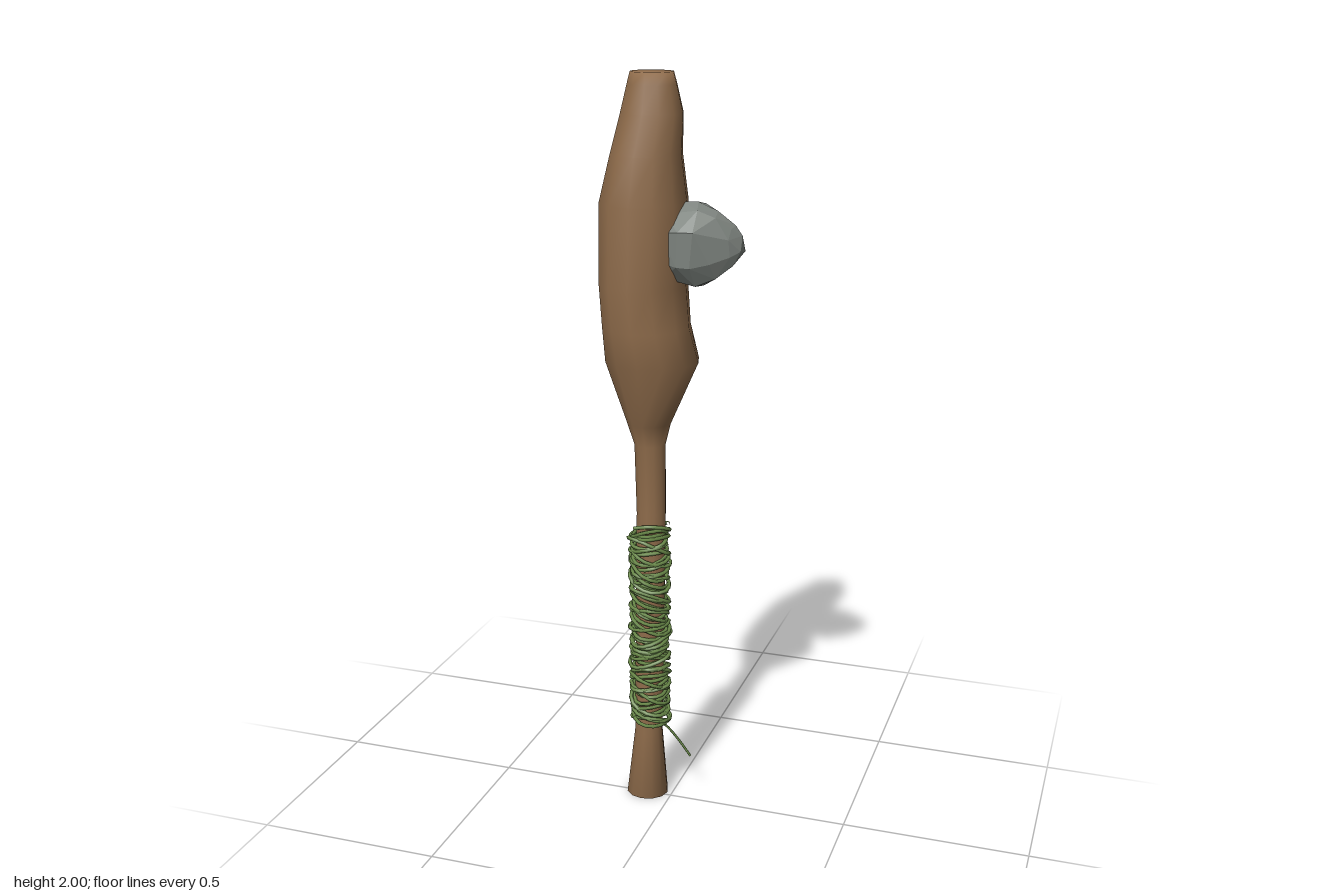
import * as THREE from 'three';
import { ConvexGeometry } from 'three/addons/geometries/ConvexGeometry.js';

const wood = new THREE.MeshStandardMaterial({ color: 0x8f6c4b });
wood.name = 'wood brown';
const stone = new THREE.MeshStandardMaterial({ color: 0x7d837e });
stone.name = 'stone grey';
const vine = new THREE.MeshStandardMaterial({ color: 0x6b8b4a });
vine.name = 'vine green';

// Smooth closed body through elliptical rings [y, xMin, xMax, zMin, zMax]
function ringBody(rings, sides) {
  const pos = [], idx = [];
  rings.forEach(([y, x0, x1, z0, z1]) => {
    for (let i = 0; i < sides; i++) {
      const a = (i / sides) * Math.PI * 2;
      pos.push((x0 + x1) / 2 + Math.cos(a) * (x1 - x0) / 2, y, (z0 + z1) / 2 + Math.sin(a) * (z1 - z0) / 2);
    }
  });
  for (let r = 0; r < rings.length - 1; r++) {
    for (let i = 0; i < sides; i++) {
      const a = r * sides + i, b = r * sides + (i + 1) % sides;
      idx.push(a, a + sides, b, b, a + sides, b + sides);
    }
  }
  // end caps
  [0, rings.length - 1].forEach((r) => {
    const [y, x0, x1, z0, z1] = rings[r], c = pos.length / 3;
    pos.push((x0 + x1) / 2, y, (z0 + z1) / 2);
    for (let i = 0; i < sides; i++) {
      const a = r * sides + i, b = r * sides + (i + 1) % sides;
      if (r === 0) idx.push(c, a, b);
      else idx.push(c, b, a);
    }
  });
  const g = new THREE.BufferGeometry();
  g.setAttribute('position', new THREE.Float32BufferAttribute(pos, 3));
  g.setIndex(idx);
  g.computeVertexNormals();
  return g;
}

// Uneven winding strand around the grip
function windingCurve(turns, phase, tilt, radius) {
  const pts = [], steps = turns * 10;
  for (let i = 0; i <= steps; i++) {
    const t = i / steps, a = phase + t * turns * Math.PI * 2;
    const r = radius + 0.004 * Math.sin(i * 1.7 + phase) + 0.003 * Math.sin(i * 0.37);
    const lean = tilt * Math.sin(a + 2.5 * Math.sin(t * 9 + phase));
    pts.push(new THREE.Vector3(
      -0.06 + Math.cos(a) * r,
      0.235 + t * 0.57 + lean + 0.004 * Math.sin(i * 0.9 + phase),
      -0.002 + Math.sin(a) * r
    ));
  }
  return new THREE.CatmullRomCurve3(pts);
}

export function createModel() {
  const model = new THREE.Group();
  model.name = 'club';
  const add = (name, geometry, material) => {
    const mesh = new THREE.Mesh(geometry, material);
    mesh.name = name;
    model.add(mesh);
  };

  // Wooden shaft swelling into a heavy head
  add('woodenShaft', ringBody([
    [0, -0.132, -0.014, -0.068, 0.042],
    [0.2, -0.105, -0.027, -0.045, 0.034],
    [0.5, -0.1, -0.02, -0.04, 0.036],
    [0.85, -0.095, -0.015, -0.04, 0.036],
    [1.04, -0.1, -0.015, -0.042, 0.038],
    [1.1, -0.118, 0.0, -0.06, 0.058],
    [1.27, -0.175, 0.075, -0.12, 0.118],
    [1.36, -0.18, 0.05, -0.125, 0.124],
    [1.47, -0.186, 0.042, -0.128, 0.13],
    [1.68, -0.184, 0.045, -0.118, 0.125],
    [1.8, -0.154, 0.03, -0.095, 0.103],
    [1.9, -0.128, 0.034, -0.073, 0.082],
    [1.97, -0.11, 0.018, -0.055, 0.067],
    [2, -0.102, 0.01, -0.046, 0.06],
  ], 12), wood);

  // Faceted stone set into the head
  const slices = [
    [0.0, 0.85], [0.04, 0.98], [0.08, 1], [0.125, 0.8], [0.165, 0.48], [0.182, 0.24],
  ];
  const outline = [
    [0.085, 1.62], [0.082, 1.53], [0.05, 1.48], [-0.02, 1.47], [-0.092, 1.51],
    [-0.075, 1.6], [-0.045, 1.675], [0.01, 1.687], [0.045, 1.67],
  ];
  const stonePoints = [];
  slices.forEach(([x, s], k) => outline.forEach(([z, y], i) => {
    if ((i + k) % 3 === 0 && k % 2 === 1 && k < 5) return;
    const tipShift = -0.018 * (1 - s);
    stonePoints.push(new THREE.Vector3(x + 0.005 * Math.sin(i * 2.3 + k), 1.578 + (y - 1.578) * s, z * s + tipShift));
  }));
  const stoneGeo = new ConvexGeometry(stonePoints);
  add('stoneSpike', stoneGeo, stone);

  // Vine wrapping on the grip
  [[26, 0, 0.012, 0.046], [21, 2.1, -0.017, 0.05], [17, 4.2, 0.02, 0.052]].forEach(([turns, phase, tilt, radius], i) => {
    add('vineWrap' + (i + 1), new THREE.TubeGeometry(windingCurve(turns, phase, tilt, radius), turns * 16, 0.0055, 5), vine);
  });

  // Loose vine end
  const tail = new THREE.CatmullRomCurve3([
    new THREE.Vector3(-0.035, 0.25, 0.035),
    new THREE.Vector3(-0.012, 0.225, 0.01),
    new THREE.Vector3(0.02, 0.18, -0.005),
    new THREE.Vector3(0.055, 0.13, -0.01),
  ]);
  add('looseVineEnd', new THREE.TubeGeometry(tail, 12, 0.0035, 5), vine);

  return model;
}
